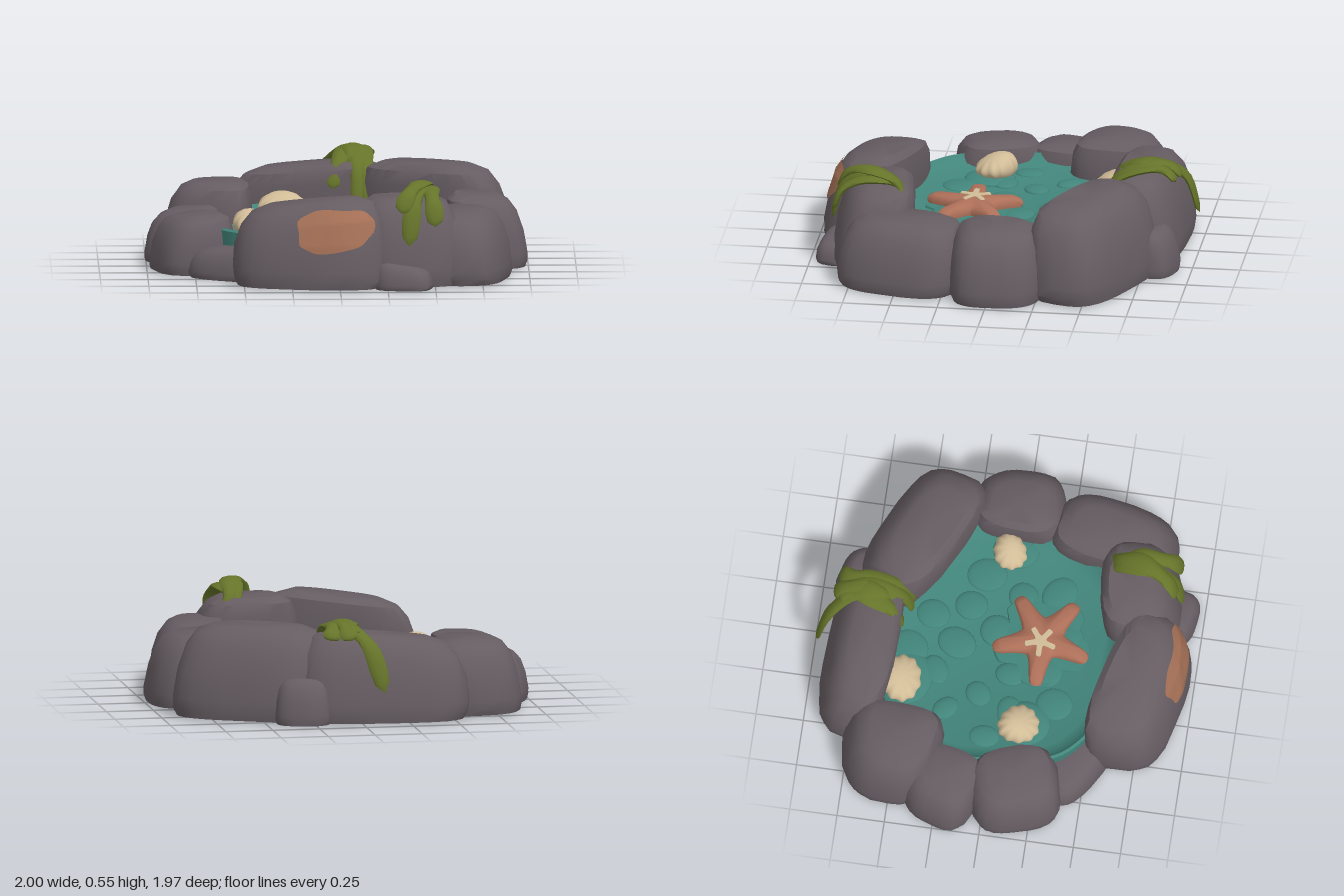
import * as THREE from 'three';
import { toCreasedNormals } from 'three/addons/utils/BufferGeometryUtils.js';

const V = (x, y, z) => new THREE.Vector3(x, y, z);
const mat = (name, color) => {
  const m = new THREE.MeshStandardMaterial({ color });
  m.name = name;
  return m;
};

let seed = 7;
const rand = () => (seed = (seed * 16807) % 2147483647) / 2147483647;

// Loop of n points from a function of the angle
const loop = (n, f) => Array.from({ length: n }, (_, j) => f((j / n) * Math.PI * 2));
const signedPow = (v, e) => Math.sign(v) * Math.abs(v) ** e;

// Skin a list of closed rings of points, dropping collapsed triangles
function skin(rings, crease) {
  const out = [];
  const tri = (a, b, c) => {
    if (b.clone().sub(a).cross(c.clone().sub(a)).length() > 1e-9)
      for (const p of [a, b, c]) out.push(p.x, p.y, p.z);
  };
  for (let i = 0; i + 1 < rings.length; i++) {
    const lo = rings[i], hi = rings[i + 1], n = lo.length;
    for (let j = 0; j < n; j++) {
      const k = (j + 1) % n;
      tri(lo[j], lo[k], hi[k]);
      tri(lo[j], hi[k], hi[j]);
    }
  }
  const g = new THREE.BufferGeometry();
  g.setAttribute('position', new THREE.Float32BufferAttribute(out, 3));
  return toCreasedNormals(g, crease);
}

// Stack scaled copies of an outline about a centre: profile entries are [scale, y]
const stack = (pts, c, profile, crease) => skin(profile.map(([s, y]) =>
  pts.map((p) => V(c.x + (p.x - c.x) * s, y, c.z + (p.z - c.z) * s))), crease);

// Boulder: rounded block, narrower on its outer side, with a sloping top that leans towards the pool
function boulder(cx, cz, a, b, degrees, h, slope) {
  const turn = THREE.MathUtils.degToRad(degrees), ct = Math.cos(turn), st = Math.sin(turn);
  const outward = Math.sign(cz * ct - cx * st);
  const phase = rand() * 6, lean = V(-cx, 0, -cz).setLength(0.15 * h);
  const profile = [[0, 0.02], [0.95, 0.02], [0.99, 0.1], [1, 0.22], [0.97, 0.52], [0.9, 0.77], [0.77, 0.93], [0.57, 1], [0, 1]];
  return skin(profile.map(([s, f]) => loop(26, (t) => {
    const r = s * (1 + 0.03 * Math.sin(3 * t + phase)) * (1 - 0.03 * rand());
    const side = -signedPow(Math.sin(t), 0.68);
    const u = 1.03 * a * r * signedPow(Math.cos(t), 0.68) * (1 - 0.13 * outward * side), v = b * r * side;
    const x = u * ct - v * st, z = u * st + v * ct;
    return V(cx + x + lean.x * f * f, f * h + f * f * slope * x, cz + z + lean.z * f * f);
  })), 0.65);
}

// Name, centre x and z, half length, half width, turn, height, top slope
const ROCKS = [
  ['backRock', -0.13, -0.76, 0.45, 0.185, 3, 0.45, 0.08],
  ['backLeftRock', 0.54, -0.535, 0.42, 0.22, 27, 0.48, 0],
  ['leftRock', 0.79, -0.03, 0.25, 0.21, 90, 0.38, -0.05],
  ['frontLeftRock', 0.69, 0.485, 0.335, 0.21, 100, 0.365, 0],
  ['frontWeedRock', 0.37, 0.68, 0.28, 0.21, -8, 0.46, 0],
  ['frontRock', -0.17, 0.75, 0.41, 0.21, 14, 0.44, 0.12],
  ['frontRightStone', -0.56, 0.47, 0.24, 0.12, 28, 0.17, 0.1],
  ['rightRock', -0.78, 0.16, 0.24, 0.2, 72, 0.3, 0.06],
  ['rightSmallRock', -0.81, -0.22, 0.2, 0.19, 105, 0.28, 0.05],
  ['backRightRock', -0.67, -0.52, 0.25, 0.235, 95, 0.385, 0],
  ['backStone', 0.31, -0.82, 0.15, 0.11, 20, 0.24, 0],
  ['frontStone', 0.33, 0.87, 0.15, 0.1, 10, 0.13, -0.15],
];

// Seaweed strands: outer end, crest, inner end
const WEEDS = {
  backSeaweed: [
    [[-0.1, 0.18, -0.99], [0.08, 0.52, -0.77], [0.08, 0.46, -0.62]],
    [[0.05, 0.48, -0.89], [0.06, 0.51, -0.75], [-0.02, 0.33, -0.54]],
    [[0.07, 0.45, -0.92], [0.1, 0.52, -0.76], [0.12, 0.24, -0.5]],
    [[0.17, 0.45, -0.9], [0.14, 0.51, -0.77], [0.17, 0.25, -0.5]],
  ],
  frontSeaweed: [
    [[0.36, 0.23, 0.89], [0.42, 0.52, 0.68], [0.42, 0.36, 0.48]],
    [[0.5, 0.33, 0.87], [0.47, 0.5, 0.68], [0.42, 0.44, 0.52]],
    [[0.32, 0.4, 0.86], [0.42, 0.53, 0.68], [0.47, 0.37, 0.48]],
  ],
};

// Flat tapering ribbon that drapes from its crest down to both ends
function ribbon(ends) {
  const [outer, crest, inner] = ends.map((p) => V(...p));
  const drape = (end) => V(
    THREE.MathUtils.lerp(crest.x, end.x, 0.6),
    THREE.MathUtils.lerp(crest.y, end.y, 0.3),
    THREE.MathUtils.lerp(crest.z, end.z, 0.7));
  const curve = new THREE.CatmullRomCurve3([outer, drape(outer), crest, drape(inner), inner]);
  const N = 20, rings = [];
  for (let i = 0; i <= N; i++) {
    const t = i / N, P = curve.getPoint(t), T = curve.getTangent(t);
    const S = V(1, 0, 0).addScaledVector(T, -T.x).normalize();
    const U = T.clone().cross(S);
    const taper = i % N === 0 ? 0 : Math.sin(Math.PI * (0.12 + 0.76 * t)) ** 0.5;
    const w = taper * (0.05 + 0.01 * Math.sin(t * 14)), h = taper * 0.02;
    rings.push(loop(10, (a) => P.clone().addScaledVector(S, w * Math.cos(a)).addScaledVector(U, h * Math.sin(a))));
  }
  return skin(rings, 1.2);
}

// Five-armed outline with rounded tips, one arm pointing to -x
function starOutline(c, R, valley, tip) {
  const pts = [];
  for (let i = 0; i < 5; i++) {
    const a = Math.PI + (i * Math.PI * 2) / 5, b = a + Math.PI / 5;
    for (const [r, s, q] of [[R * 0.93, -tip, a], [R, 0, a], [R * 0.93, tip, a], [valley, 0, b]])
      pts.push(V(c.x + r * Math.cos(q) - s * Math.sin(q), 0, c.z - r * Math.sin(q) - s * Math.cos(q)));
  }
  return new THREE.CatmullRomCurve3(pts, true, 'catmullrom', 0.3).getPoints(80).slice(0, 80);
}

// Ribbed fan-shaped shell
function shellGeometry(sx, sy, sz) {
  const g = new THREE.SphereGeometry(1, 72, 16);
  const p = g.attributes.position;
  for (let i = 0; i < p.count; i++) {
    const x = p.getX(i), y = p.getY(i), z = p.getZ(i);
    const r = 1 + 0.045 * Math.hypot(x, z) * Math.cos(11 * Math.atan2(z, x));
    p.setXYZ(i, x * r * sx * (1 + 0.12 * z), y * sy * (1 - 0.25 * z), z * r * sz);
  }
  return toCreasedNormals(g, 1);
}

export function createModel() {
  const model = new THREE.Group();
  model.name = 'rockPool';
  const stone = mat('stone grey', 0x665d62), water = mat('pool teal', 0x42857b);
  const weed = mat('seaweed green', 0x66742a), coral = mat('starfish coral', 0xae7059);
  const cream = mat('shell cream', 0xd1bc97), rust = mat('rust patch', 0xa57056);
  const add = (name, geometry, material, parent = model) => {
    const m = new THREE.Mesh(geometry, material);
    m.name = name;
    parent.add(m);
    return m;
  };

  // Ring of boulders
  for (const [name, ...size] of ROCKS) add(name, boulder(...size), stone);

  // Rust patch draped over the front boulder
  const ray = new THREE.Raycaster(), frontRock = model.getObjectByName('frontRock'), rings = [];
  for (let i = 12; i >= 0; i--) rings.push(loop(40, (a) => {
    const r = (i / 12) * (1 + 0.05 * Math.sin(3 * a + 1) + 0.03 * Math.cos(7 * a));
    const c = Math.cos(a), s = Math.sin(a);
    const x = -0.03 + 0.2 * r * signedPow(c, 0.75);
    const y = 0.312 + 0.018 * r * c + 0.108 * r * signedPow(s, 0.75);
    ray.set(V(x, y, 3), V(0, 0, -1));
    const hit = ray.intersectObject(frontRock)[0];
    return V(x, y + 0.004, (hit ? hit.point.z : 0.8) + 0.007);
  }));
  add('rustPatch', skin(rings, 1), rust);

  // Pool basin with a raised rim that tucks into the boulders
  const poolCentre = V(-0.02, 0, -0.03);
  const basin = loop(72, (t) => {
    const r = 1 + 0.015 * Math.sin(5 * t + 0.5) + 0.012 * Math.sin(9 * t);
    return V(poolCentre.x + 0.65 * r * signedPow(Math.cos(t), 0.82), 0, poolCentre.z - 0.635 * r * signedPow(Math.sin(t), 0.82));
  });
  add('poolBasin', stack(basin, poolCentre, [[0, 0.025], [1, 0.025], [1.01, 0.24], [0.99, 0.25], [0.94, 0.21], [0.87, 0.19], [0, 0.185]], 0.6), water);

  // Pebbles under the water, spiralling out from the middle
  const pebbles = new THREE.Group();
  pebbles.name = 'pebbles';
  model.add(pebbles);
  const pebble = new THREE.SphereGeometry(1, 20, 10);
  for (let i = 0; i < 18; i++) {
    const a = i * 2.4, d = 0.48 * Math.sqrt((i + 1) / 18), r = 0.07 + 0.045 * rand();
    const m = add('pebble', pebble, water, pebbles);
    m.position.set(-0.04 + d * Math.cos(a), 0.187, -0.06 + d * Math.sin(a));
    m.scale.set(r, 0.02, r * (0.75 + 0.25 * rand()));
    m.rotation.y = rand() * 6;
  }

  // Starfish with a pale centre, resting on a low mound
  const starCentre = V(0.05, 0, 0.185);
  add('starfishMound', stack(starOutline(starCentre, 0.27, 0.2, 0.08), starCentre, [[1, 0.17], [0.95, 0.2], [0, 0.205]], 0.6), water);
  add('starfish', stack(starOutline(starCentre, 0.265, 0.118, 0.034), starCentre, [[0, 0.19], [0.95, 0.19], [1, 0.215], [0.96, 0.235], [0.84, 0.25], [0.4, 0.262], [0, 0.265]], 0.8), coral);
  const markCentre = V(0.02, 0, 0.18);
  add('starfishCentre', stack(starOutline(markCentre, 0.085, 0.03, 0.014), markCentre, [[1, 0.262], [0.97, 0.268], [0, 0.27]], 0.6), cream);

  // Shells, each on a flat stone
  for (const [name, x, z, sx, sz, turn] of [['backShell', -0.28, -0.52, 0.125, 0.11, 0], ['rightShell', -0.45, 0.13, 0.1, 0.11, 0.5], ['leftShell', 0.5, -0.05, 0.085, 0.1, -1.2]]) {
    const shell = add(name, shellGeometry(sx, 0.07, sz), cream);
    shell.position.set(x, 0.245, z);
    shell.rotation.set(0.15, turn, 0);
    const base = add(name + 'Stone', pebble, water);
    base.position.set(x + 0.03, 0.187, z + 0.03);
    base.scale.set(sx * 1.25, 0.03, sz * 1.25);
  }

  // Seaweed draped over the rocks
  for (const [name, strands] of Object.entries(WEEDS)) {
    const clump = new THREE.Group();
    clump.name = name;
    model.add(clump);
    for (const s of strands) add('strand', ribbon(s), weed, clump);
  }
  return model;
}
